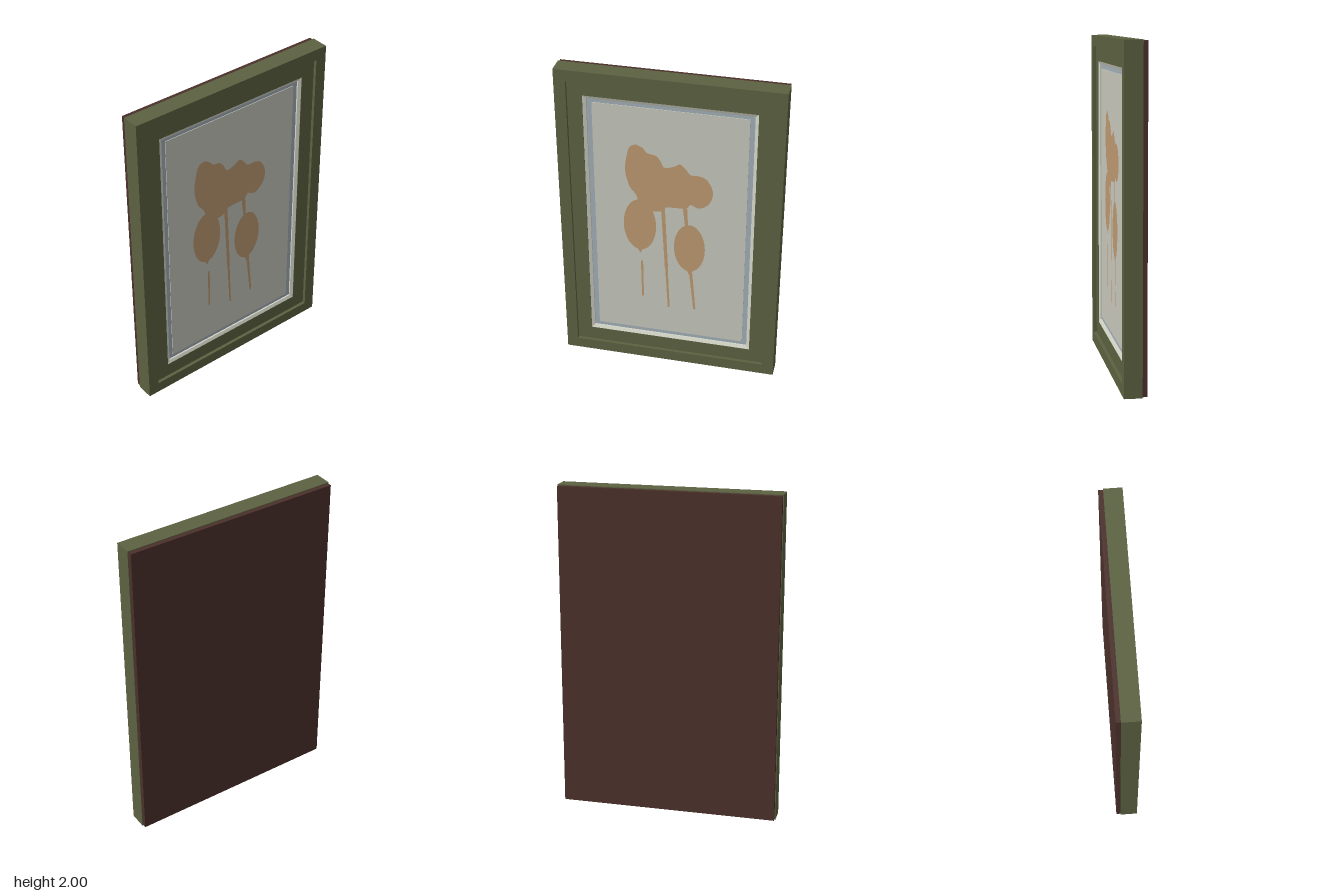
import * as THREE from 'three';

const material = (name, color) => {
  const m = new THREE.MeshStandardMaterial({ color });
  m.name = name;
  return m;
};

export function createModel() {
  const green = material('olive green', 0x5c6241);
  const brown = material('dark brown', 0x4b302b);
  const cream = material('cream', 0xd4d6c9);
  const paper = material('pale paper', 0xc8c9be);
  const blue = material('grey blue', 0xa3b0b9);
  const tan = material('tan', 0xbf9a72);
  tan.side = THREE.DoubleSide;

  const model = new THREE.Group();
  model.name = 'framedPicture';
  const CY = 1; // height of the picture centre

  const add = (name, geometry, mat, x = 0, y = 0, z = 0, parent = model) => {
    const mesh = new THREE.Mesh(geometry, mat);
    mesh.name = name;
    mesh.position.set(x, y, z);
    parent.add(mesh);
    return mesh;
  };

  // Four mitred rails between an outer and an inner rectangle (half sizes);
  // drop lowers the inner edge of the face to make a bevel
  const mitredRing = (name, mat, [ow, oh], [iw, ih], back, front, drop = 0) => {
    const ring = new THREE.Group();
    ring.name = name;
    ring.position.y = CY;
    const outer = [[-ow, -oh], [ow, -oh], [ow, oh], [-ow, oh]];
    const inner = [[-iw, -ih], [iw, -ih], [iw, ih], [-iw, ih]];
    ['bottom', 'right', 'top', 'left'].forEach((side, i) => {
      const j = (i + 1) % 4;
      const shape = new THREE.Shape(
        [outer[i], outer[j], inner[j], inner[i]].map(([x, y]) => new THREE.Vector2(x, y)));
      const g = new THREE.ExtrudeGeometry(shape, { depth: front - back, bevelEnabled: false });
      const p = g.attributes.position;
      for (let k = 0; drop && k < p.count; k++) {
        const isInner = Math.abs(p.getX(k)) < iw + 1e-4 && Math.abs(p.getY(k)) < ih + 1e-4;
        if (isInner && p.getZ(k) > 1e-4) p.setZ(k, p.getZ(k) - drop);
      }
      g.computeVertexNormals();
      add(side + 'Rail', g, mat, 0, 0, back, ring);
    });
    model.add(ring);
  };

  // Backing board and the stepped frame
  add('backingBoard', new THREE.BoxGeometry(1.33, 1.99, 0.028), brown, 0, CY, -0.053);
  mitredRing('outerFrame', green, [0.67, 1], [0.6, 0.93], -0.04, 0.067);
  mitredRing('innerFrame', green, [0.6, 0.93], [0.51, 0.84], -0.04, 0.047);
  mitredRing('bevelledLip', cream, [0.51, 0.84], [0.49, 0.82], -0.04, 0.045, 0.008);

  // Mount and paper
  add('blueMount', new THREE.BoxGeometry(0.98, 1.64, 0.068), blue, 0, CY, -0.006);
  add('paperPanel', new THREE.BoxGeometry(0.92, 1.59, 0.004), paper, 0, CY, 0.03);

  // Flat flower silhouette on the paper
  const art = new THREE.Group();
  art.name = 'flowerPicture';
  art.position.z = 0.034;
  model.add(art);

  const cluster = [
    [-0.2, 1.55], [-0.16, 1.53], [-0.135, 1.5], [-0.085, 1.49], [-0.055, 1.455], [-0.033, 1.415],
    [0.025, 1.43], [0.06, 1.45], [0.095, 1.42], [0.125, 1.385], [0.175, 1.385], [0.225, 1.36],
    [0.258, 1.28], [0.235, 1.2], [0.175, 1.16], [0.125, 1.18], [0.1, 1.15], [0.035, 1.145],
    [-0.03, 1.14], [-0.055, 1.11], [-0.1, 1.1], [-0.185, 1.1], [-0.2, 1.195], [-0.245, 1.26],
    [-0.27, 1.37], [-0.255, 1.485], [-0.235, 1.535],
  ].map(([x, y]) => new THREE.Vector2(x, y));
  const clusterShape = new THREE.Shape().moveTo(cluster[0].x, cluster[0].y)
    .splineThru([...cluster.slice(1), cluster[0]]);
  add('upperBlossoms', new THREE.ShapeGeometry(clusterShape, 3), tan, 0, 0, 0, art);

  // Hanging petals: ovals drawn out to a small point at the bottom
  const petal = (name, x, y, rx, ry, tip) => {
    const points = [];
    for (let i = 0; i < 40; i++) {
      const a = (i / 40) * Math.PI * 2;
      const px = rx * Math.cos(a), py = ry * Math.sin(a);
      points.push(new THREE.Vector2(px, i === 30 ? py - tip : py));
    }
    add(name, new THREE.ShapeGeometry(new THREE.Shape(points)), tan, x, y, 0.0005, art);
  };
  petal('leftPetal', -0.185, 0.993, 0.1, 0.18, 0.025);
  petal('rightPetal', 0.12, 0.865, 0.095, 0.17, 0.03);

  // Thin tapered stems
  const stem = (name, x0, y0, w0, x1, y1, w1) => {
    const s = new THREE.Shape([[x0 - w0, y0], [x1 - w1, y1], [x1 + w1, y1], [x0 + w0, y0]]
      .map(([x, y]) => new THREE.Vector2(x, y)));
    add(name, new THREE.ShapeGeometry(s), tan, 0, 0, 0.001, art);
  };
  stem('leftStem', -0.175, 0.73, 0.007, -0.172, 0.46, 0.006);
  stem('middleStem', -0.043, 1.15, 0.012, -0.022, 0.7, 0.01);
  stem('middleStemLower', -0.022, 0.7, 0.008, -0.008, 0.4, 0.006);
  stem('rightStemUpper', 0.09, 1.17, 0.014, 0.102, 1.02, 0.009);
  stem('rightStemLower', 0.128, 0.7, 0.01, 0.155, 0.41, 0.007);

  return model;
}
